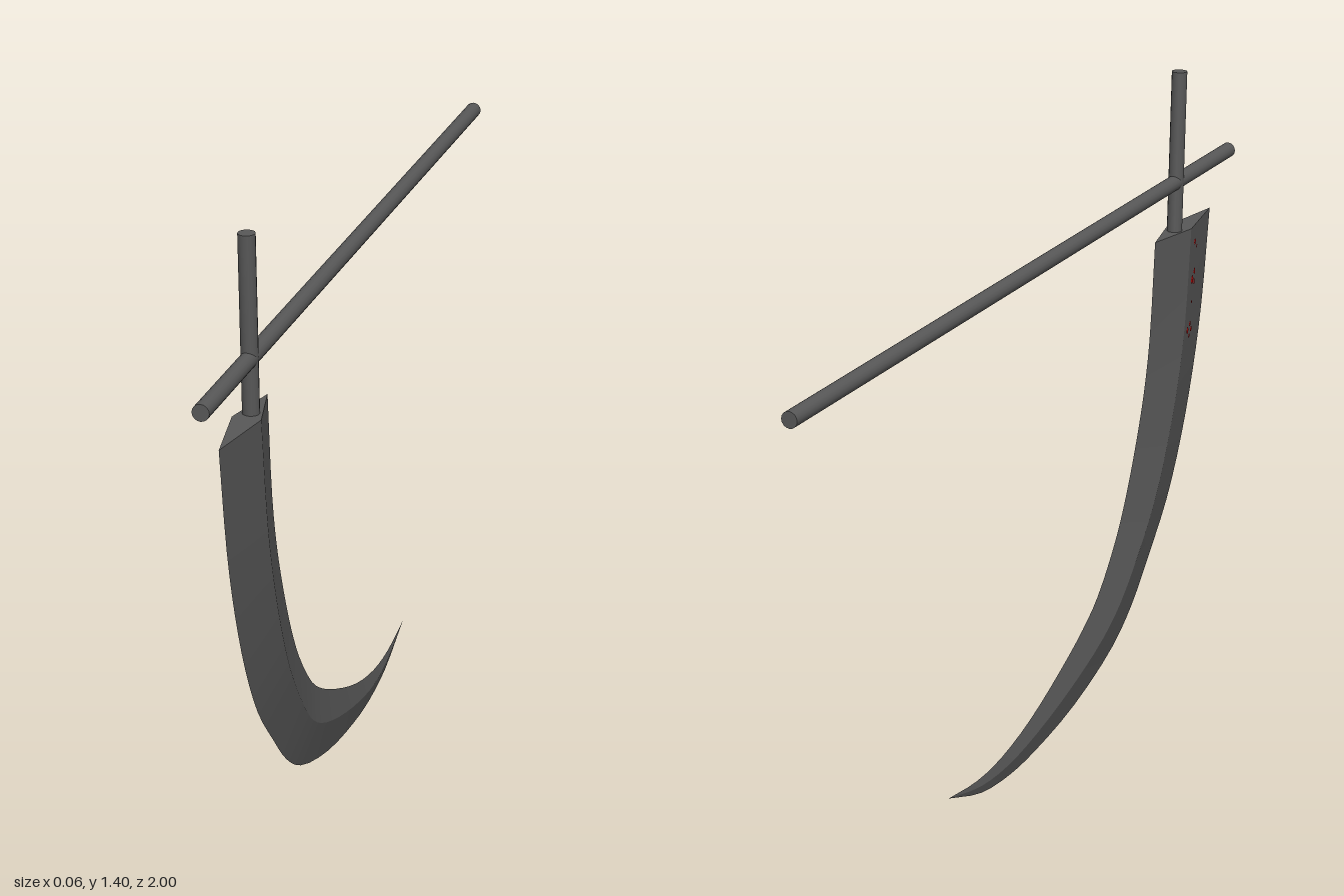
import * as THREE from 'three';

const steel = new THREE.MeshStandardMaterial({ color: 0x585858 });
steel.name = 'dark steel';
const red = new THREE.MeshStandardMaterial({ color: 0xb40808 });
red.name = 'red';

// Blade stations from top to tip: outer edge z, y; inner edge z, y; half thickness
const stations = [
  [0.9, 1.03, 0.6, 1.03, 0.03],
  [0.862, 0.8, 0.577, 0.8, 0.031],
  [0.82, 0.65, 0.55, 0.68, 0.031],
  [0.76, 0.5, 0.51, 0.567, 0.03],
  [0.685, 0.37, 0.46, 0.455, 0.028],
  [0.59, 0.262, 0.406, 0.364, 0.025],
  [0.5, 0.17, 0.315, 0.26, 0.021],
  [0.4, 0.104, 0.24, 0.209, 0.018],
  [0.2, 0.038, 0.13, 0.155, 0.014],
  [0, 0.008, -0.02, 0.096, 0.01],
  [-0.12, 0.004, -0.155, 0.064, 0.007],
  [-0.25, 0.02, -0.27, 0.058, 0.004],
  [-0.4, 0.075, -0.4, 0.075, 0],
];
const RIDGE = 0.56; // ridge position from outer to inner edge
const ROWS = 36;

const curve = (f) => new THREE.CatmullRomCurve3(stations.map(f));
const ridge = (side) => ([oz, oy, iz, iy, w]) => new THREE.Vector3(
  side * w, oy + (iy - oy) * RIDGE, oz + (iz - oz) * RIDGE);
const columns = [
  curve(([z, y]) => new THREE.Vector3(0, y, z)),
  curve(ridge(1)),
  curve(([, , z, y]) => new THREE.Vector3(0, y, z)),
  curve(ridge(-1)),
];

function makeGeometry(points, index) {
  const g = new THREE.BufferGeometry().setFromPoints(points);
  g.setIndex(index);
  g.computeVertexNormals();
  return g;
}

// One bevel between two neighbouring columns, smooth along its length
function bevel(a, b) {
  const points = [], index = [];
  for (let i = 0; i <= ROWS; i++) {
    points.push(a.getPoint(i / ROWS), b.getPoint(i / ROWS));
    if (i === ROWS) continue;
    const k = i * 2;
    index.push(k, k + 2, k + 1);
    if (i < ROWS - 1) index.push(k + 2, k + 3, k + 1);
  }
  return makeGeometry(points, index);
}

function addMesh(parent, name, geometry, material) {
  const mesh = new THREE.Mesh(geometry, material);
  mesh.name = name;
  parent.add(mesh);
  return mesh;
}

function rod(parent, name, from, to, radius) {
  const dir = to.clone().sub(from);
  const mesh = addMesh(parent, name, new THREE.CylinderGeometry(radius, radius, dir.length(), 16), steel);
  mesh.position.copy(from).add(to).multiplyScalar(0.5);
  mesh.quaternion.setFromUnitVectors(new THREE.Vector3(0, 1, 0), dir.normalize());
}

export function createModel() {
  const model = new THREE.Group();
  model.name = 'sickle';

  // Curved blade with a kite-shaped section
  const blade = new THREE.Group();
  blade.name = 'blade';
  model.add(blade);
  const names = ['leftOuterBevel', 'leftInnerBevel', 'rightInnerBevel', 'rightOuterBevel'];
  names.forEach((name, i) => addMesh(blade, name, bevel(columns[i], columns[(i + 1) % 4]), steel));
  addMesh(blade, 'bladeTop', makeGeometry(columns.map((c) => c.getPoint(0)), [0, 1, 2, 0, 2, 3]), steel);

  // Tang and long crossing handle
  rod(model, 'tang', new THREE.Vector3(0, 0.98, 0.702), new THREE.Vector3(0, 1.403, 0.718), 0.0175);
  rod(model, 'handle', new THREE.Vector3(0, 1.145, -1), new THREE.Vector3(0, 1.145, 1), 0.0175);

  // Small red flecks on the right outer bevel: y, position across the bevel, radius
  const flecks = new THREE.Group();
  flecks.name = 'redFlecks';
  model.add(flecks);
  const spots = [
    [0.99, 0.78, 0.008], [0.975, 0.66, 0.005], [0.92, 0.7, 0.008], [0.905, 0.8, 0.011],
    [0.895, 0.68, 0.007], [0.85, 0.74, 0.004], [0.79, 0.72, 0.007], [0.775, 0.84, 0.009],
    [0.765, 0.62, 0.007], [0.745, 0.7, 0.006],
  ];
  for (const [y, across, radius] of spots) {
    const t = ((1.03 - y) / 0.23) / (stations.length - 1);
    const fleck = addMesh(flecks, 'fleck', new THREE.CircleGeometry(radius, 6), red);
    fleck.position.lerpVectors(columns[0].getPoint(t), columns[3].getPoint(t), across);
    fleck.position.x -= 0.002;
    fleck.rotation.y = -1.39;
  }
  return model;
}
